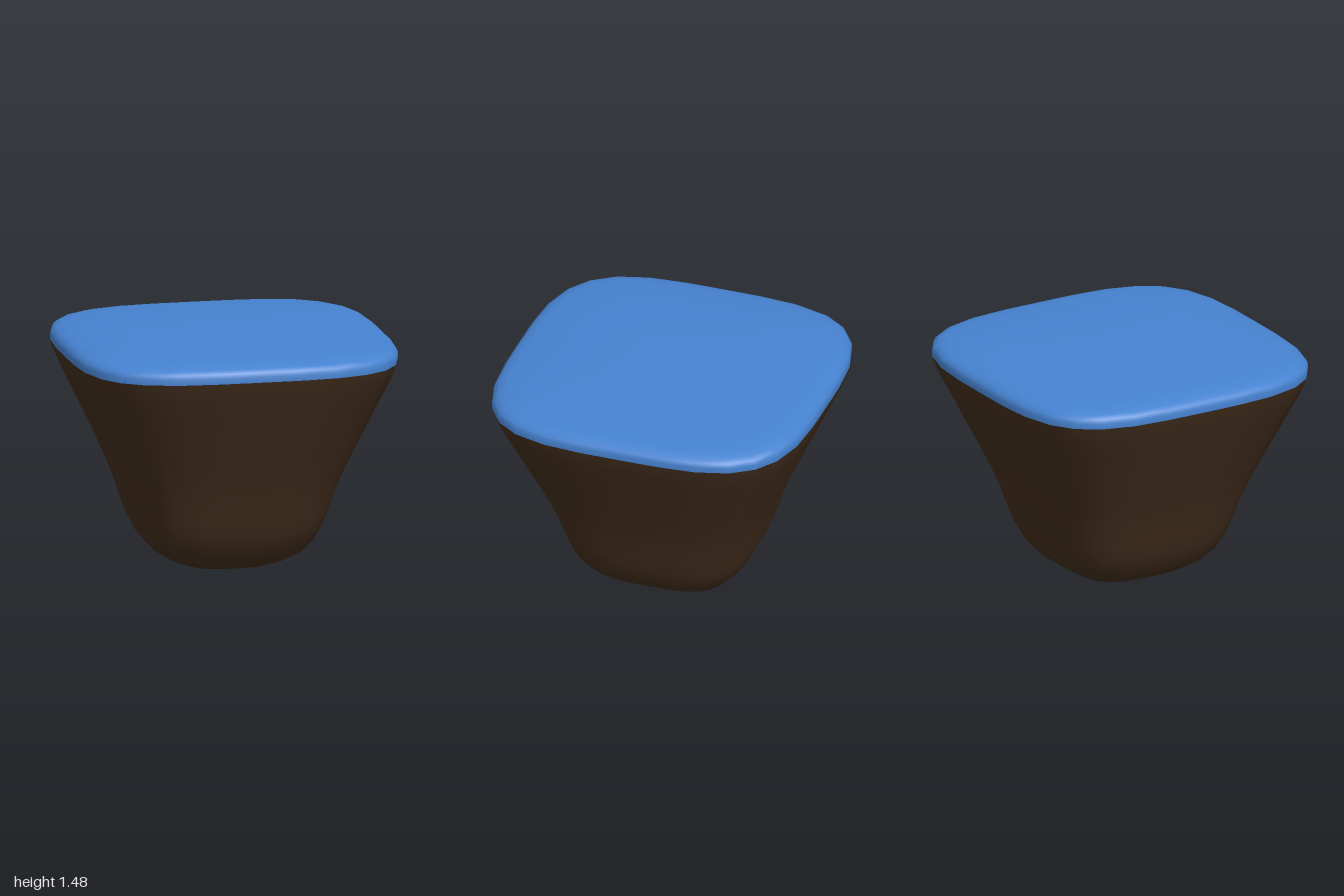
import * as THREE from 'three';
import { mergeVertices } from 'three/addons/utils/BufferGeometryUtils.js';

const SIDE = 8; // segments along each side of the rounded square

// Rounded-square ring (superellipse) of half-width r at height y
function ring(r, y, n) {
  const pts = [];
  for (let side = 0; side < 4; side++) {
    for (let i = 0; i < SIDE; i++) {
      const t = -1 + (2 * i) / SIDE;
      const k = r / Math.pow(1 + Math.pow(Math.abs(t), n), 1 / n);
      const a = (side * Math.PI) / 2, c = Math.cos(a), s = Math.sin(a);
      pts.push([k * (c - t * s), y, k * (s + t * c)]);
    }
  }
  return pts;
}

// Skin a bottom-to-top profile of [halfWidth, height, squareness]
function loft(profile) {
  const count = SIDE * 4, pos = [], index = [];
  profile.forEach(([r, y, n]) => ring(r, y, n).forEach((p) => pos.push(...p)));
  for (let j = 0; j < profile.length - 1; j++) {
    for (let i = 0; i < count; i++) {
      const a = j * count + i, b = j * count + ((i + 1) % count);
      const c = a + count, d = b + count;
      if (profile[j][0] > 0) index.push(a, c, b);
      if (profile[j + 1][0] > 0) index.push(b, c, d);
    }
  }
  const g = new THREE.BufferGeometry();
  g.setAttribute('position', new THREE.Float32BufferAttribute(pos, 3));
  g.setIndex(index);
  const merged = mergeVertices(g, 1e-5);
  merged.computeVertexNormals();
  return merged;
}

function part(name, profile, color) {
  const mesh = new THREE.Mesh(loft(profile), new THREE.MeshStandardMaterial({ color }));
  mesh.name = name;
  return mesh;
}

export function createModel() {
  const group = new THREE.Group();
  group.name = 'stool';

  // Tapered body with a rounded underside
  group.add(part('body', [
    [0, 0, 2.6], [0.12, 0.007, 2.6], [0.25, 0.033, 2.9], [0.36, 0.075, 3.2],
    [0.455, 0.135, 3.4], [0.52, 0.21, 3.5], [0.565, 0.3, 3.6], [0.6, 0.4, 3.7],
    [0.64, 0.53, 3.7], [0.695, 0.67, 3.7], [0.76, 0.815, 3.7], [0.83, 0.965, 3.7],
    [0.9, 1.12, 3.7], [0.955, 1.235, 3.7], [0.985, 1.31, 3.7], [0.998, 1.355, 3.7],
  ], 0x402c1b));

  // Soft, slightly domed cushion
  group.add(part('cushion', [
    [0.998, 1.355, 3.7], [1, 1.39, 3.7], [0.99, 1.415, 3.7], [0.965, 1.435, 3.7],
    [0.92, 1.45, 3.7], [0.82, 1.463, 3.6], [0.65, 1.472, 3.4], [0.4, 1.478, 3],
    [0.2, 1.479, 2.8], [0, 1.48, 2.6],
  ], 0x4682d0));

  return group;
}
